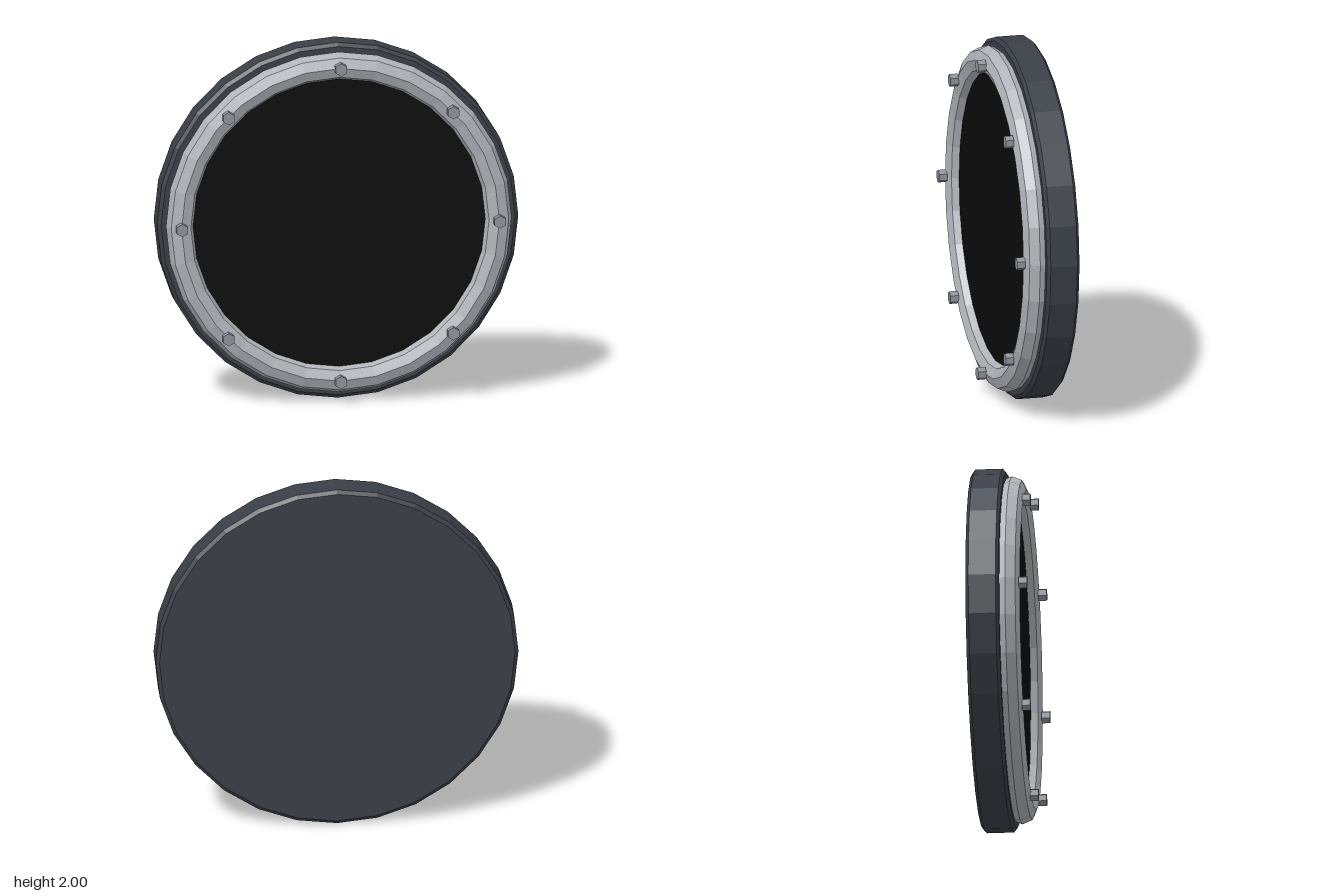
import * as THREE from 'three';

const SIDES = 28;
const FRAME_Z = 0.049, FRAME_R = 0.88, TUBE_R = 0.077;

const material = (color) => new THREE.MeshStandardMaterial({ color, flatShading: true });

export function createModel() {
  const model = new THREE.Group();
  model.name = 'roundPorthole';

  const add = (name, geometry, mat) => {
    const mesh = new THREE.Mesh(geometry, mat);
    mesh.name = name;
    mesh.position.y = 1;
    model.add(mesh);
    return mesh;
  };

  // Thick backing disc with chamfered rims, turned to face +z
  const profile = [
    [0, -0.167], [0.98, -0.167], [1, -0.15], [1, 0], [0.98, 0.017], [0, 0.017],
  ].map(([r, z]) => new THREE.Vector2(r, z));
  add('backingDisc', new THREE.LatheGeometry(profile, SIDES).rotateX(Math.PI / 2), material(0x3a3f47));

  // Faceted metal ring
  const ring = add('frameRing', new THREE.TorusGeometry(FRAME_R, TUBE_R, 8, SIDES), material(0xb0b4ba));
  ring.position.z = FRAME_Z;

  // Dark pane inside the ring
  const pane = new THREE.CylinderGeometry(0.82, 0.82, 0.055, SIDES).rotateX(Math.PI / 2);
  add('glassPane', pane, material(0x0a0a0a)).position.z = 0.0375;

  // Eight hexagonal bolts around the ring
  const boltGeometry = new THREE.CylinderGeometry(0.036, 0.036, 0.046, 6).rotateX(Math.PI / 2);
  const boltMaterial = material(0x8f949c);
  for (let i = 0; i < 8; i++) {
    const a = (i / 8) * Math.PI * 2;
    const bolt = add(`bolt${i + 1}`, boltGeometry, boltMaterial);
    bolt.position.set(Math.cos(a) * FRAME_R, 1 + Math.sin(a) * FRAME_R, 0.144);
  }

  return model;
}
